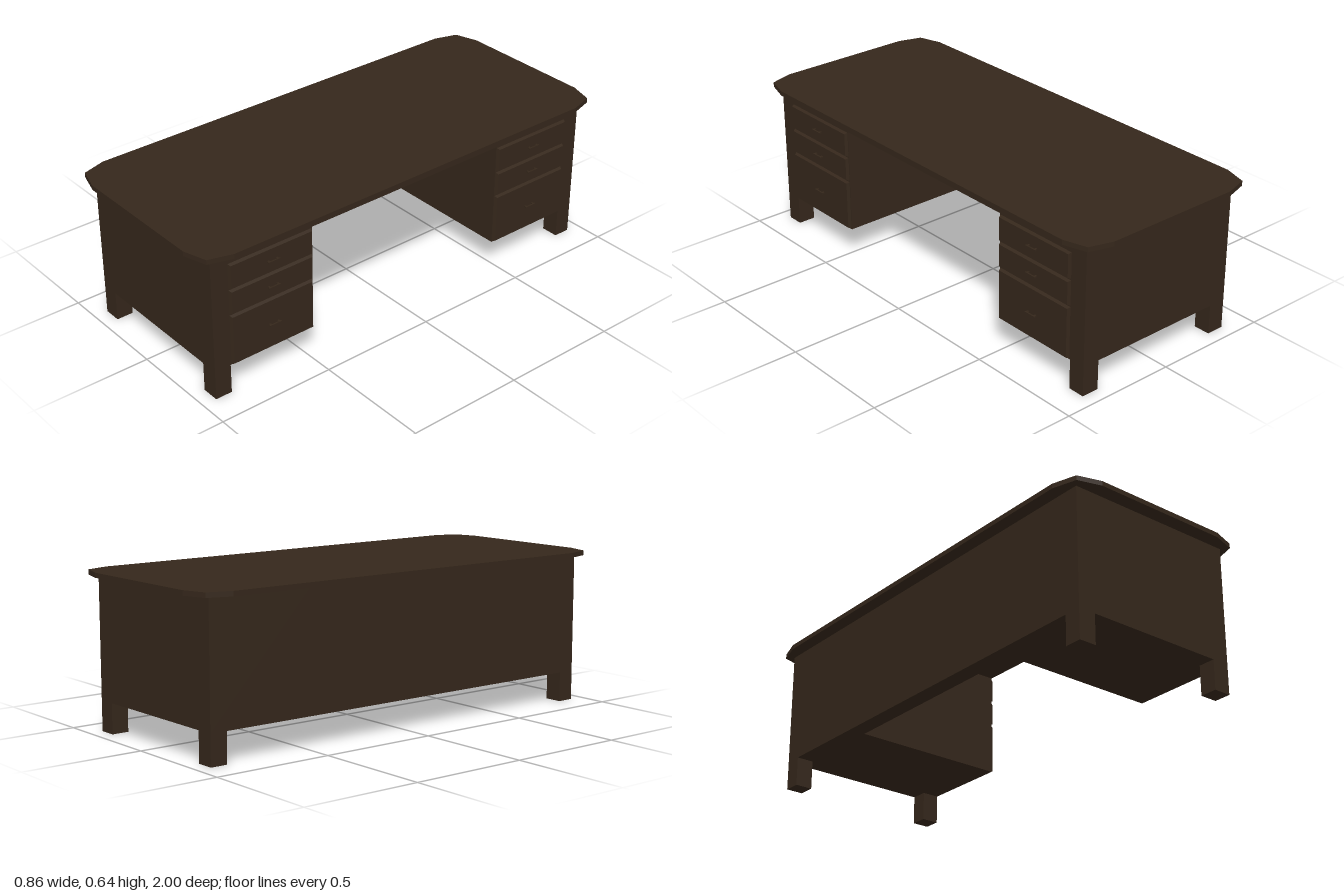
import * as THREE from 'three';

const wood = new THREE.MeshStandardMaterial({ color: 0x35271b, flatShading: true });

// Box given by its min/max extents on each axis
function box(name, x0, x1, y0, y1, z0, z1) {
  const geo = new THREE.BoxGeometry(x1 - x0, y1 - y0, z1 - z0);
  geo.translate((x0 + x1) / 2, (y0 + y1) / 2, (z0 + z1) / 2);
  const mesh = new THREE.Mesh(geo, wood);
  mesh.name = name;
  return mesh;
}

// Drawer front: a slab whose outer (+x) face is pulled in to form a bevel
function drawerFront(y0, y1, z0, z1) {
  const mesh = box('drawerFront', 0.37, 0.387, y0, y1, z0, z1);
  const p = mesh.geometry.attributes.position;
  const cy = (y0 + y1) / 2, cz = (z0 + z1) / 2, bevel = 0.008;
  for (let i = 0; i < p.count; i++) {
    if (p.getX(i) < 0.38) continue;
    p.setY(i, p.getY(i) - Math.sign(p.getY(i) - cy) * bevel);
    p.setZ(i, p.getZ(i) - Math.sign(p.getZ(i) - cz) * bevel);
  }
  mesh.geometry.computeVertexNormals();
  return mesh;
}

// Slim pull: a bar on two short posts
function handle(y, z) {
  const g = new THREE.Group();
  g.name = 'drawerHandle';
  g.add(box('handleBar', 0.395, 0.401, y - 0.003, y + 0.003, z - 0.027, z + 0.027));
  for (const s of [-1, 1]) {
    const c = z + s * 0.02;
    g.add(box('handlePost', 0.385, 0.397, y - 0.003, y + 0.003, c - 0.004, c + 0.004));
  }
  return g;
}

export function createModel() {
  const desk = new THREE.Group();
  desk.name = 'desk';

  // Table top with faceted corners
  const corner = [[0.43, 0.87], [0.40, 0.97], [0.30, 1.0]];
  const outline = [];
  for (const [sx, sz] of [[1, 1], [-1, 1], [-1, -1], [1, -1]]) {
    const pts = sx * sz > 0 ? corner : [...corner].reverse();
    for (const [x, z] of pts) outline.push(new THREE.Vector2(sx * x, sz * z));
  }
  const topGeo = new THREE.ExtrudeGeometry(new THREE.Shape(outline), { depth: 0.02, bevelEnabled: false });
  topGeo.rotateX(-Math.PI / 2).translate(0, 0.624, 0);
  const top = new THREE.Mesh(topGeo, wood);
  top.name = 'tableTop';
  desk.add(top);

  // Kneehole ceiling with front rail, and the closing panel behind it
  desk.add(box('upperRail', -0.375, 0.375, 0.575, 0.624, -0.475, 0.475));
  desk.add(box('backPanel', -0.375, -0.303, 0.125, 0.575, -0.475, 0.475));

  for (const s of [-1, 1]) {
    const side = new THREE.Group();
    side.name = s > 0 ? 'frontPedestal' : 'rearPedestal';
    const span = (a, b) => (s > 0 ? [a, b] : [-b, -a]);

    // Pedestal body and its two feet
    side.add(box('pedestal', -0.375, 0.375, 0.125, 0.624, ...span(0.475, 0.94)));
    for (const x of [-0.375, 0.3])
      side.add(box('leg', x, x + 0.075, 0, 0.125, ...span(0.868, 0.94)));

    // Two shallow drawers over a deep one
    for (const [y0, y1] of [[0.461, 0.573], [0.35, 0.459], [0.125, 0.348]]) {
      side.add(drawerFront(y0, y1, ...span(0.476, 0.866)));
      side.add(handle((y0 + y1) / 2, s * 0.671));
    }
    desk.add(side);
  }
  return desk;
}
